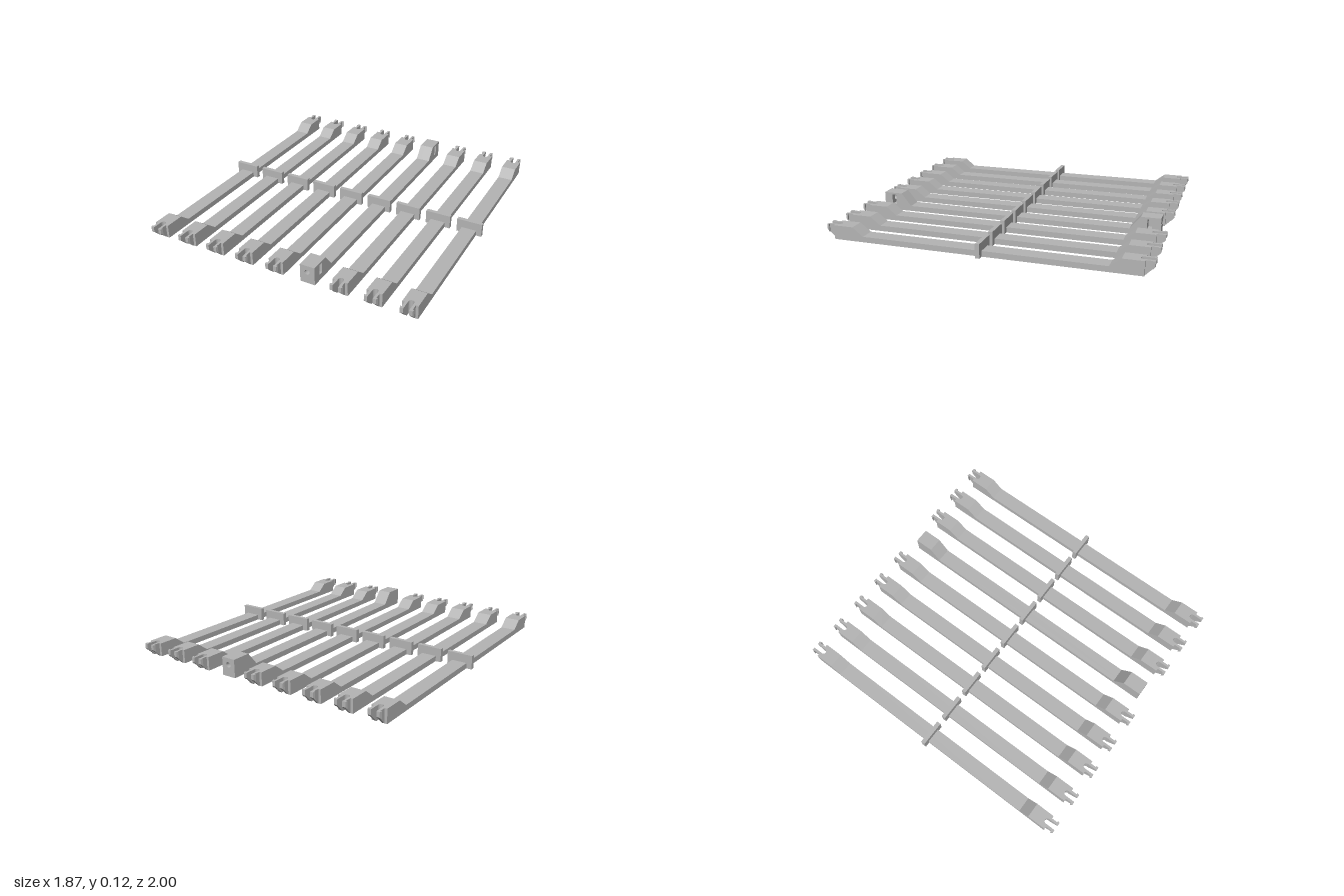
import * as THREE from 'three';

const HALF = 0.0485;      // half width of a bar
const PITCH = 0.2135;     // spacing between bars
const LOW = 0.035;        // height of the thin middle section
const HEAD = 0.088;       // height of a clip head
const BLOCK = 0.118;      // height of the bored head
const END = 0.945;        // end of the solid body

const polygon = (pts) => new THREE.Shape(pts.map(([x, y]) => new THREE.Vector2(x, y)));

// Extrude a (z, y) side profile across x from x0 to x1
function across(pts, x0, x1) {
  const g = new THREE.ExtrudeGeometry(polygon(pts), { depth: x1 - x0, bevelEnabled: false });
  return g.rotateY(-Math.PI / 2).translate(x1, 0, 0);
}

// Extrude an (x, z) plan upwards from the floor
function upward(shape, height) {
  const g = new THREE.ExtrudeGeometry(shape, { depth: height, bevelEnabled: false, curveSegments: 10 });
  return g.rotateX(Math.PI / 2).translate(0, height, 0);
}

// Side profile of a bar; tail holds the points of one end, mirrored to the other
function barProfile(top, tail) {
  const half = [...tail, [0.82, top], [0.752, LOW]];
  return [...half, ...half.map(([z, y]) => [-z, y]).reverse()];
}

// Forked end with a rounded notch
function forkGeometry() {
  const s = new THREE.Shape();
  const r = 0.017;
  s.moveTo(-HALF, 0.9);
  s.lineTo(HALF, 0.9);
  s.lineTo(HALF, END);
  s.lineTo(r, END);
  s.lineTo(r, 0.932);
  s.absarc(0, 0.932, r, 0, -Math.PI, true);
  s.lineTo(-r, END);
  s.lineTo(-HALF, END);
  return upward(s, HEAD);
}

// Barbed clip arm with a sloping underside
function armGeometry(side) {
  const pts = [[0.017, END], [0.032, END], [0.032, 0.985], [0.041, 0.985], [0.037, 1], [0.017, 1]];
  const g = upward(polygon(pts.map(([x, z]) => [x * side, z])), HEAD);
  const p = g.attributes.position;
  for (let i = 0; i < p.count; i++) {
    if (p.getY(i) < 0.001) p.setY(i, p.getZ(i) - END);
  }
  g.computeVertexNormals();
  return g;
}

// End face of the bored head, with a round bolt hole
function boredGeometry() {
  const s = polygon([[-HALF, 0], [HALF, 0], [HALF, BLOCK], [-HALF, BLOCK]]);
  s.holes.push(new THREE.Path().absarc(0, 0.075, 0.017, 0, Math.PI * 2, true));
  const g = new THREE.ExtrudeGeometry(s, { depth: END - 0.89, bevelEnabled: false, curveSegments: 12 });
  return g.translate(0, 0, 0.89);
}

export function createModel() {
  const model = new THREE.Group();
  model.name = 'barSet';
  const grey = new THREE.MeshStandardMaterial({ color: 0xb4b4b4 });
  grey.name = 'lightGrey';

  const add = (parent, name, geometry) => {
    const mesh = new THREE.Mesh(geometry, grey);
    mesh.name = name;
    parent.add(mesh);
  };

  const clipBody = across(barProfile(HEAD, [[0.9, 0], [0.9, HEAD]]), -HALF, HALF);
  const fork = forkGeometry();
  const arms = [armGeometry(1), armGeometry(-1)];
  const plate = new THREE.BoxGeometry(0.166, HEAD, 0.027).translate(0, HEAD / 2, 0);

  // Bored bar in two layers, the outer one notched for the nut slots
  const solidLayer = across(barProfile(BLOCK, [[0.89, 0], [0.89, BLOCK]]), -HALF, -0.017);
  const slotTail = [[0.89, 0], [0.89, 0.04], [0.86, 0.04], [0.86, 0.105], [0.89, 0.105], [0.89, BLOCK]];
  const slotLayer = across(barProfile(BLOCK, slotTail), -0.017, HALF);
  const bored = boredGeometry();

  for (let i = 0; i < 9; i++) {
    const isBored = i === 5;
    const bar = new THREE.Group();
    bar.name = isBored ? 'boredBar' : 'clipBar';
    bar.position.x = (i - 4) * PITCH;
    add(bar, 'crossPlate', plate);
    if (isBored) {
      add(bar, 'solidLayer', solidLayer);
      add(bar, 'slottedLayer', slotLayer);
    } else {
      add(bar, 'barBody', clipBody);
    }
    // Matching ends, front and back
    for (const turn of [0, Math.PI]) {
      const end = new THREE.Group();
      end.name = turn ? 'backEnd' : 'frontEnd';
      end.rotation.y = turn;
      if (isBored) {
        add(end, 'boredHead', bored);
      } else {
        add(end, 'forkHead', fork);
        arms.forEach((arm) => add(end, 'clipArm', arm));
      }
      bar.add(end);
    }
    model.add(bar);
  }
  return model;
}
